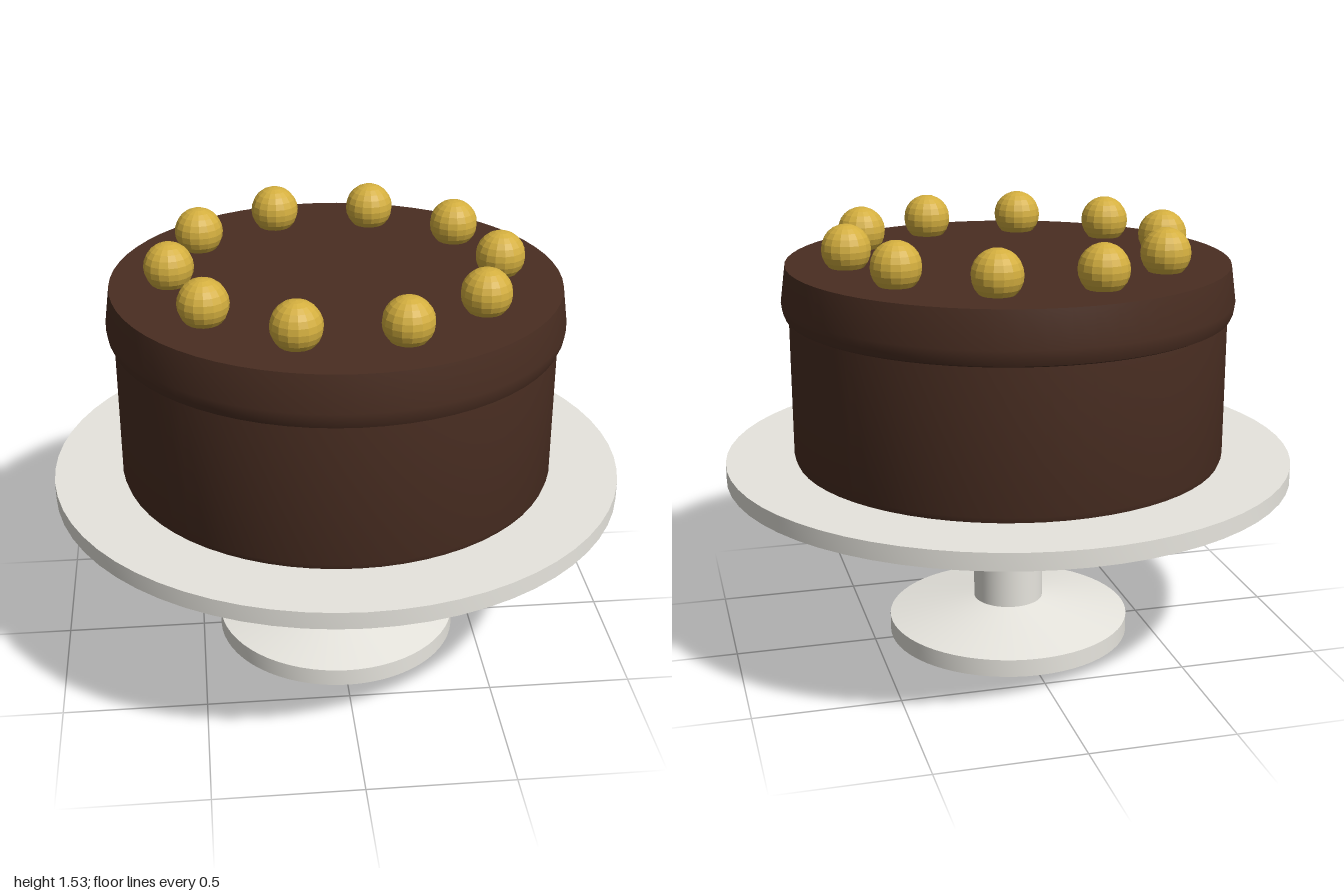
import * as THREE from 'three';
import { toCreasedNormals } from 'three/addons/utils/BufferGeometryUtils.js';

const material = (name, color) => {
  const m = new THREE.MeshStandardMaterial({ color });
  m.name = name;
  return m;
};

// Turned part from a profile of [radius, height], listed from bottom to top
function turned(name, profile, mat) {
  const points = profile.map(([r, y]) => new THREE.Vector2(r, y));
  const geometry = toCreasedNormals(new THREE.LatheGeometry(points, 64), Math.PI / 5);
  const mesh = new THREE.Mesh(geometry, mat);
  mesh.name = name;
  return mesh;
}

export function createModel() {
  const porcelain = material('porcelain', 0xe8e6df);
  const chocolate = material('chocolate', 0x4a2e22);
  const gold = material('gold', 0xd4af3f);

  const model = new THREE.Group();
  model.name = 'cakeOnStand';

  // Pedestal: foot, column and plate in one turning
  model.add(turned('cakeStand', [
    [0, 0], [0.435, 0], [0.435, 0.063], [0.125, 0.125],
    [0.125, 0.567], [1, 0.63], [1, 0.69], [0, 0.69],
  ], porcelain));

  // Cake body with a small bevel at the bottom
  model.add(turned('cakeBody', [
    [0, 0.688], [0.752, 0.688], [0.76, 0.71], [0.76, 1.22], [0, 1.22],
  ], chocolate));

  // Icing lid, bulging out near its lower edge
  model.add(turned('icing', [
    [0, 1.195], [0.755, 1.195], [0.772, 1.203], [0.781, 1.225],
    [0.785, 1.255], [0.768, 1.38], [0, 1.38],
  ], chocolate));

  // Ring of ten sweets
  const sweets = new THREE.Group();
  sweets.name = 'sweets';
  const ball = toCreasedNormals(new THREE.SphereGeometry(0.085, 16, 12), 0.01);
  for (let i = 0; i < 10; i++) {
    const a = (i / 10) * Math.PI * 2;
    const sweet = new THREE.Mesh(ball, gold);
    sweet.name = 'sweet';
    sweet.position.set(Math.cos(a) * 0.563, 1.442, Math.sin(a) * 0.563);
    sweets.add(sweet);
  }
  model.add(sweets);
  return model;
}
